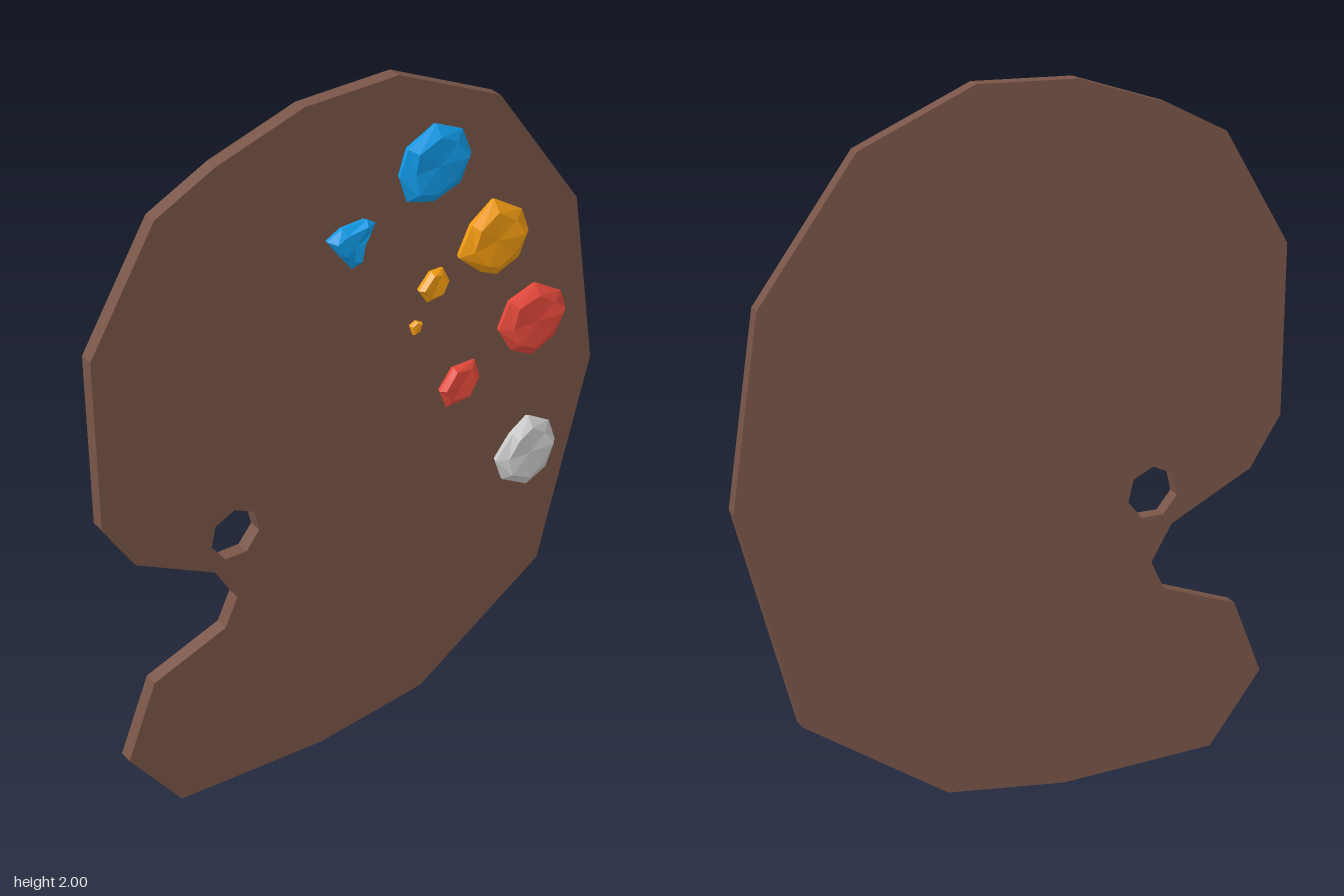
import * as THREE from 'three';

const paint = (color) => new THREE.MeshStandardMaterial({ color, flatShading: true });

// Faceted dab: cross-section loops scaled from a clockwise outline (hundredths of a unit)
function dabGeometry(outline, height) {
  const pts = [...outline].reverse();
  const n = pts.length;
  const loops = [[0.92, -0.12], [1, 0.4], [0.72, 0.92]];
  const pos = [];
  const index = [];
  loops.forEach(([scale, level], k) => pts.forEach(([u, v], i) => {
    const wobble = k === 0 ? 0 : 0.1 * Math.sin(i * 2.4 + k);
    const s = 0.01 * scale * (k === 2 ? 1 + wobble : 1);
    pos.push(u * s, v * s, height * Math.min(1, level + wobble));
  }));
  pos.push(0, 0, height * 0.9);
  for (let k = 0; k < 2; k++) {
    for (let i = 0; i < n; i++) {
      const j = (i + 1) % n;
      const a = k * n + i, b = k * n + j;
      index.push(a, b, b + n, a, b + n, a + n);
    }
  }
  for (let i = 0; i < n; i++) index.push(2 * n + i, 2 * n + (i + 1) % n, 3 * n);
  const geometry = new THREE.BufferGeometry();
  geometry.setAttribute('position', new THREE.Float32BufferAttribute(pos, 3));
  geometry.setIndex(index);
  const flat = geometry.toNonIndexed();
  flat.computeVertexNormals();
  return flat;
}

export function createModel() {
  const model = new THREE.Group();
  model.name = 'paintPalette';

  // Everything is drawn in a flat plane, then turned so its face looks along +x
  const palette = new THREE.Group();
  palette.name = 'palette';
  palette.rotation.y = Math.PI / 2;
  model.add(palette);

  // Board outline with the thumb notch
  const outline = [
    [0.115, 2], [-0.165, 1.99], [-0.42, 1.905], [-0.595, 1.815], [-0.79, 1.49],
    [-0.79, 1], [-0.7, 0.855], [-0.46, 0.73], [-0.4, 0.625], [-0.44, 0.54],
    [-0.665, 0.455], [-0.755, 0.23], [-0.6, 0.02], [-0.14, 0], [0.21, 0.045],
    [0.625, 0.33], [0.787, 0.96], [0.707, 1.485], [0.435, 1.86],
  ];
  const shape = new THREE.Shape(outline.map(([u, v]) => new THREE.Vector2(u, v)));

  // Seven-sided thumb hole
  const hole = [];
  for (let i = 0; i < 7; i++) {
    const a = Math.PI / 2 - (i * Math.PI * 2) / 7;
    hole.push(new THREE.Vector2(-0.4 + 0.076 * Math.cos(a), 0.83 + 0.076 * Math.sin(a)));
  }
  shape.holes.push(new THREE.Path(hole));

  const board = new THREE.Mesh(
    new THREE.ExtrudeGeometry(shape, { depth: 0.04, bevelEnabled: false }),
    paint(0x795548)
  );
  board.name = 'board';
  board.position.z = -0.04;
  palette.add(board);

  // Paint dabs: name, material, centre, height, outline
  const blue = paint(0x119be8), orange = paint(0xf39c12), red = paint(0xe84a3c), white = paint(0xcccccc);
  const dabs = [
    ['largeBlueDab', blue, 0.222, 1.735, 0.04,
      [[0, 11], [8, 7.5], [11, 0], [8, -8], [-1, -10.5], [-9, -8.5], [-11.5, -1], [-9, 6.5]]],
    ['smallBlueDab', blue, -0.037, 1.58, 0.035,
      [[-7.5, 3], [-3, 5.5], [4.5, 6], [7.5, 4], [4, 0], [2.5, -6], [0, -7], [-4, -2]]],
    ['largeOrangeDab', orange, 0.415, 1.46, 0.04,
      [[0, 11.5], [9, 6], [11.5, -1], [9, -8.5], [1, -11], [-4, -9], [-11.5, -2.5], [-7.5, 6]]],
    ['smallOrangeDab', orange, 0.225, 1.375, 0.025,
      [[-1, 4.5], [3, 4.5], [5, 0], [3, -3.5], [-2, -4.5], [-5, 0]]],
    ['tinyOrangeDab', orange, 0.172, 1.265, 0.015,
      [[-2, 1], [0, 2], [2, 1], [1.5, -2], [-1, -2]]],
    ['largeRedDab', red, 0.557, 1.165, 0.04,
      [[1, 11], [9.5, 6], [11.5, 0], [8.5, -8], [0, -11], [-7, -7.5], [-11.5, 0], [-8, 8]]],
    ['smallRedDab', red, 0.315, 1.04, 0.025,
      [[-2, 6], [5.5, 6], [7, 0], [4, -5.5], [-4, -6], [-6.5, 0]]],
    ['whiteDab', white, 0.552, 0.742, 0.04,
      [[1, 11], [8, 7], [10.5, 0], [8, -9], [0.5, -11.5], [-8, -7], [-10.5, 0], [-5, 7]]],
  ];
  for (const [name, material, u, v, height, points] of dabs) {
    const dab = new THREE.Mesh(dabGeometry(points, height), material);
    dab.name = name;
    dab.position.set(u, v, 0);
    palette.add(dab);
  }
  return model;
}
